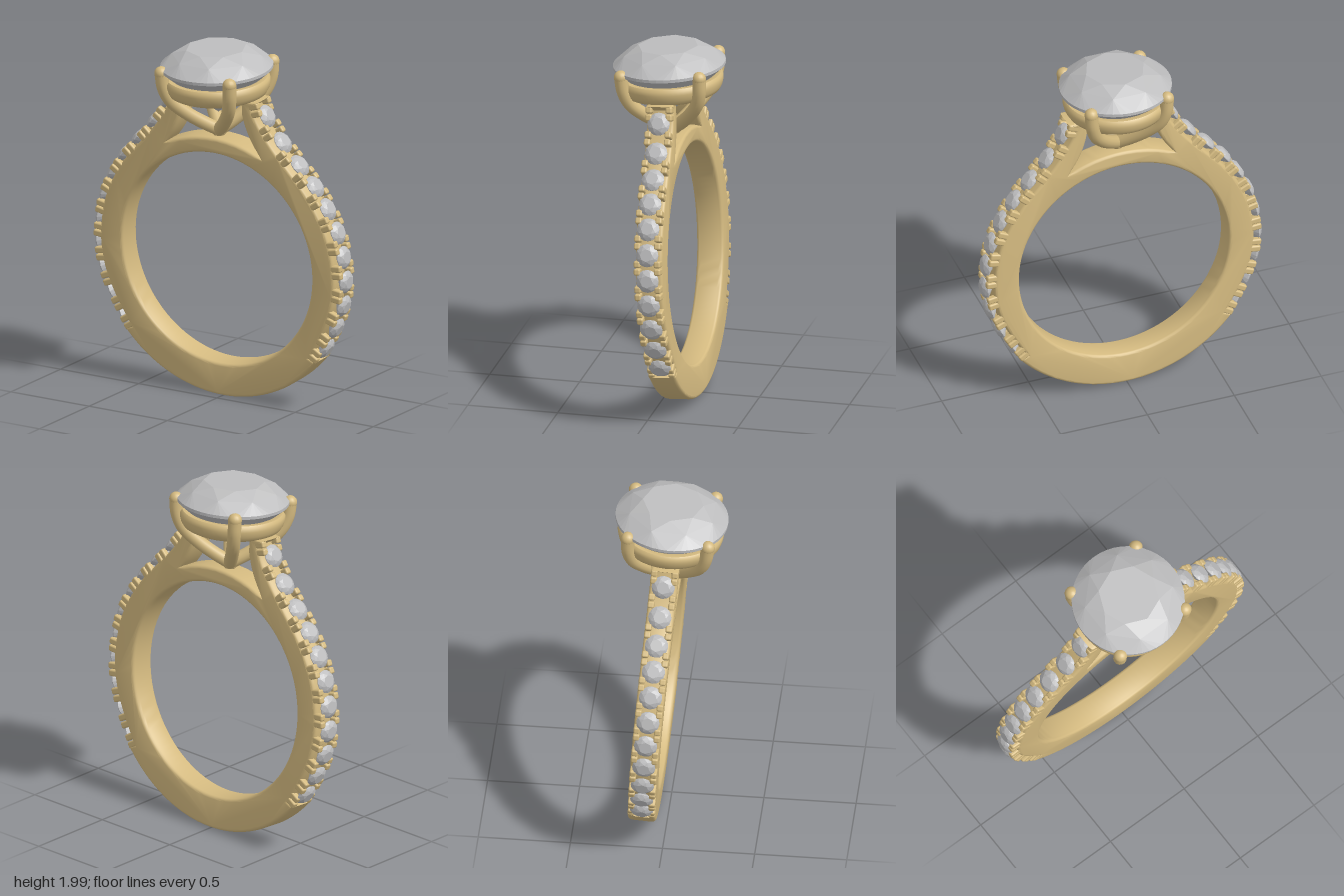
import * as THREE from 'three';
import { toCreasedNormals } from 'three/addons/utils/BufferGeometryUtils.js';
import { RoundedBoxGeometry } from 'three/addons/geometries/RoundedBoxGeometry.js';
import { ConvexGeometry } from 'three/addons/geometries/ConvexGeometry.js';

const gold = new THREE.MeshStandardMaterial({ color: 0xd4ba80 });
gold.name = 'gold';
const gem = new THREE.MeshStandardMaterial({ color: 0xbdbdbe });
gem.name = 'clear gem';

const CENTRE = 0.795; // height of the finger hole centre
const WIDTH = 0.15; // band width along z
const STONES = 11; // accent stones per side

// Line of accent stones down the right shoulder, with one extra point at each end
const paveCurve = new THREE.CatmullRomCurve3([
  [0.285, 1.73], [0.317, 1.645], [0.41, 1.51], [0.513, 1.395], [0.607, 1.288], [0.684, 1.17], [0.743, 1.042],
  [0.774, 0.905], [0.783, 0.765], [0.762, 0.622], [0.71, 0.485], [0.64, 0.357], [0.602, 0.295],
].map(([x, y]) => new THREE.Vector3(x, y, 0)));

// Point on the stone line, moved outward by d and along by s, with its outward normal
function paveAt(t, d = 0, s = 0) {
  const p = paveCurve.getPoint(t), tan = paveCurve.getTangent(t);
  const n = new THREE.Vector3(-tan.y, tan.x, 0);
  p.addScaledVector(n, d).addScaledVector(tan, s);
  return { p, n };
}

function add(parent, name, geometry, material) {
  const mesh = new THREE.Mesh(geometry, material);
  mesh.name = name;
  parent.add(mesh);
  return mesh;
}

// Round brilliant cut, girdle at y = 0
function brilliant(r, crown, pavilion, girdleSides) {
  const pts = [];
  const ring = (count, radius, y, turn = 0) => {
    for (let i = 0; i < count; i++) {
      const a = ((i + turn) / count) * Math.PI * 2;
      pts.push(new THREE.Vector3(Math.cos(a) * radius, y, Math.sin(a) * radius));
    }
  };
  ring(8, r * 0.54, crown);
  ring(8, r * 0.8, crown * 0.63, 0.5);
  ring(girdleSides, r, crown * 0.08);
  ring(girdleSides, r, -crown * 0.08);
  ring(8, r * 0.26, -pavilion * 0.77, 0.5);
  pts.push(new THREE.Vector3(0, -pavilion, 0));
  return new ConvexGeometry(pts);
}

// Band, shoulders and the arch under the head as one extruded outline
function bandGeometry() {
  const half = [];
  const arc = (r, from, to, n) => {
    for (let i = 0; i <= n; i++) {
      const a = from + ((to - from) * i) / n;
      half.push(new THREE.Vector2(Math.cos(a) * r, CENTRE + Math.sin(a) * r));
    }
  };
  // arch top, out to the shoulder root
  arc(0.693, Math.PI / 2, Math.acos(0.3 / 0.693), 10);
  // inner edge and top of the shoulder
  const inner = new THREE.QuadraticBezierCurve(
    new THREE.Vector2(0.3, 1.42), new THREE.Vector2(0.215, 1.52), new THREE.Vector2(0.19, 1.65));
  half.push(...inner.getPoints(8).slice(1), new THREE.Vector2(0.19, 1.735), new THREE.Vector2(0.298, 1.735));
  // sunken seat for the stones
  for (let i = 1; i <= 60; i++) {
    const { p } = paveAt(i / 60, -0.035);
    half.push(new THREE.Vector2(p.x, p.y));
  }
  // plain lower band
  arc(0.79, -0.685, -Math.PI / 2, 24);

  const left = half.slice(1, -1).reverse().map((p) => new THREE.Vector2(-p.x, p.y));
  const shape = new THREE.Shape([...half, ...left]);
  const hole = new THREE.Path();
  hole.absarc(0, CENTRE, 0.602, 0, Math.PI * 2, false);
  shape.holes.push(hole);
  const bevel = 0.025;
  const geo = new THREE.ExtrudeGeometry(shape, {
    depth: WIDTH - 2 * bevel, bevelThickness: bevel, bevelSize: 0.018, bevelOffset: -0.018,
    bevelSegments: 4, curveSegments: 48,
  });
  geo.translate(0, 0, -WIDTH / 2 + bevel);
  return toCreasedNormals(geo, 0.6);
}

// Accent stones and the small claws between them on one side
function buildPave(side) {
  const group = new THREE.Group();
  group.name = side > 0 ? 'leftAccentRow' : 'rightAccentRow';
  const place = (mesh, { p, n }, z) => {
    mesh.position.set(p.x * side, p.y, z);
    mesh.rotation.z = Math.atan2(n.y, n.x * side) - Math.PI / 2;
  };
  const stone = brilliant(0.063, 0.024, 0.05, 16);
  const claw = new RoundedBoxGeometry(0.037, 0.075, 0.036, 2, 0.01);
  for (let i = 1; i <= STONES; i++) {
    place(add(group, 'accentStone', stone, gem), paveAt(i / 12, -0.004), 0);
  }
  for (let i = 0; i <= STONES; i++) {
    const t = i === 0 ? 0.035 : i === STONES ? 0.965 : (i + 0.5) / 12;
    for (const s of [-0.021, 0.021]) {
      for (const z of [-0.056, 0.056]) {
        place(add(group, 'claw', claw, gold), paveAt(t, -0.03, s), z);
      }
    }
  }
  return group;
}

// Collar, four prongs and the centre stone
function buildHead() {
  const head = new THREE.Group();
  head.name = 'head';

  const profile = [
    [0.205, 1.74], [0.215, 1.728], [0.245, 1.724], [0.266, 1.735], [0.28, 1.758], [0.288, 1.79],
    [0.286, 1.812], [0.275, 1.824], [0.24, 1.824], [0.225, 1.81], [0.205, 1.74],
  ].map(([x, y]) => new THREE.Vector2(x, y));
  add(head, 'collar', toCreasedNormals(new THREE.LatheGeometry(profile, 64), 0.8), gold);

  const centre = add(head, 'centreStone', brilliant(0.306, 0.104, 0.265, 48), gem);
  centre.position.y = 1.882;

  for (const sx of [-1, 1]) {
    for (const sz of [-1, 1]) {
      const prong = new THREE.Group();
      prong.name = 'prong';
      const path = new THREE.CatmullRomCurve3([
        [0, 1.515], [0.06, 1.565], [0.13, 1.635], [0.185, 1.71], [0.211, 1.79], [0.218, 1.873],
      ].map(([d, y]) => new THREE.Vector3(d * sx, y, d * sz)));
      add(prong, 'prongStem', new THREE.TubeGeometry(path, 28, 0.037, 14), gold);
      const tip = add(prong, 'prongTip', new THREE.SphereGeometry(0.038, 16, 12), gold);
      tip.position.set(0.218 * sx, 1.873, 0.218 * sz);
      head.add(prong);
    }
  }
  const joint = add(head, 'prongJoint', new THREE.SphereGeometry(0.04, 16, 12), gold);
  joint.position.y = 1.512;
  return head;
}

export function createModel() {
  const model = new THREE.Group();
  model.name = 'ring';
  const tilted = new THREE.Group();
  tilted.name = 'tiltedRing';
  add(tilted, 'band', bandGeometry(), gold);
  tilted.add(buildPave(1), buildPave(-1), buildHead());
  // the ring leans slightly forward
  tilted.rotation.x = 0.067;
  tilted.position.set(0, 0.003, -0.125);
  model.add(tilted);
  return model;
}
